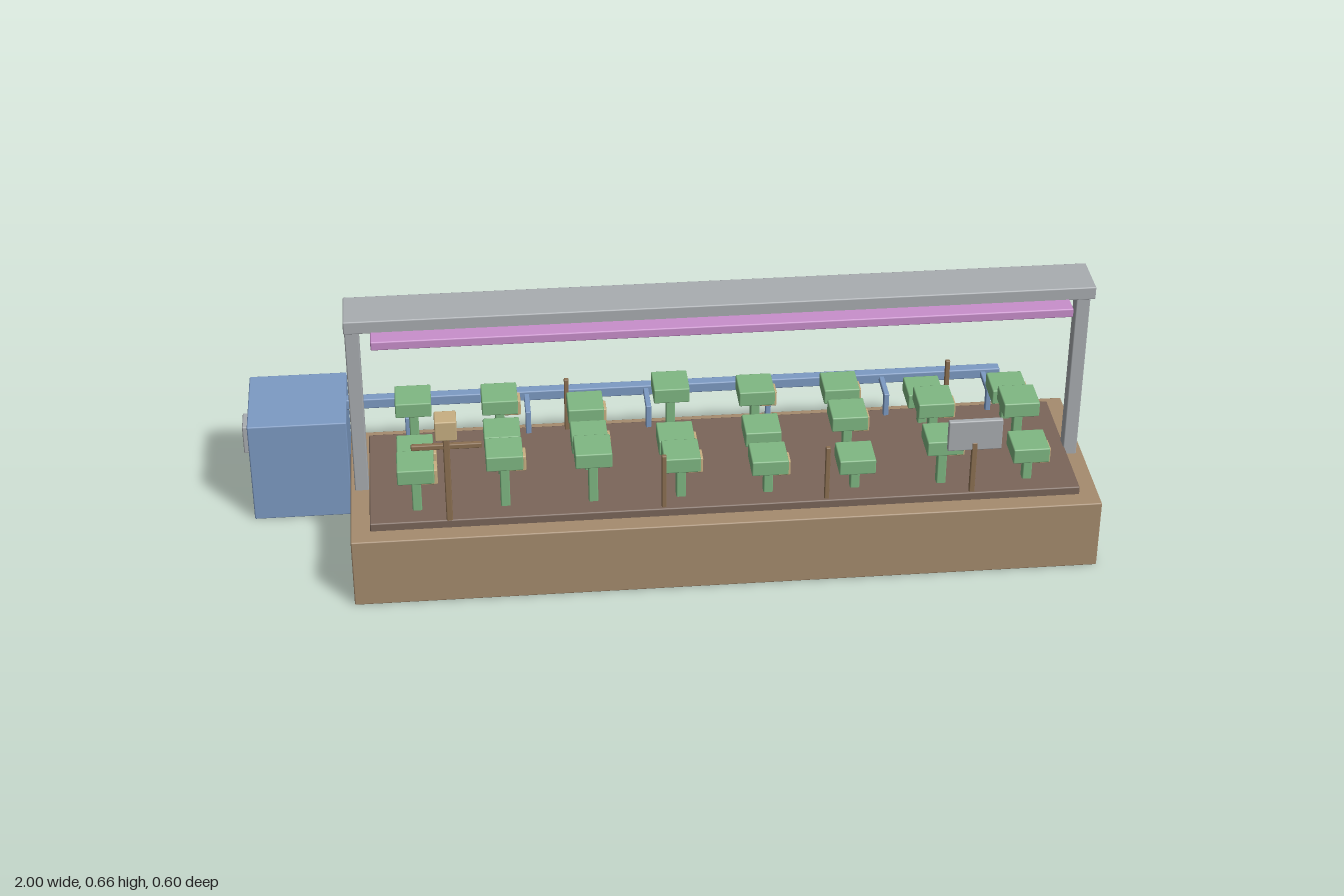
import * as THREE from 'three';
import { RoundedBoxGeometry } from 'three/addons/geometries/RoundedBoxGeometry.js';

const paint = (name, color) => {
  const m = new THREE.MeshStandardMaterial({ color });
  m.name = name;
  return m;
};

export function createModel() {
  const model = new THREE.Group();
  model.name = 'plantBed';
  const wood = paint('bedWood', 0xa68c6e);
  const earth = paint('soilBrown', 0x7b665a);
  const bark = paint('stakeBrown', 0x8c7052);
  const metal = paint('metalGrey', 0xa9adb1);
  const water = paint('waterBlue', 0x7d9bc4);
  const glow = paint('lampPink', 0xc98fcc);
  const leaf = paint('leafGreen', 0x80b883);
  const straw = paint('strawTan', 0xc8b082);

  // Slightly softened box spanning [min, max] on each axis
  function block(name, material, [x0, x1], [y0, y1], [z0, z1], parent = model) {
    const w = x1 - x0, h = y1 - y0, d = z1 - z0;
    const r = Math.min(0.003, Math.min(w, h, d) * 0.2);
    const mesh = new THREE.Mesh(new RoundedBoxGeometry(w, h, d, 1, r), material);
    mesh.position.set((x0 + x1) / 2, (y0 + y1) / 2, (z0 + z1) / 2);
    mesh.name = name;
    parent.add(mesh);
  }
  const around = (c, size) => [c - size / 2, c + size / 2];
  const group = (name) => {
    const g = new THREE.Group();
    g.name = name;
    model.add(g);
    return g;
  };

  // Raised bed and soil
  block('bed', wood, [-0.74, 1.0], [0, 0.175], [-0.162, 0.3]);
  block('soil', earth, [-0.695, 0.955], [0.165, 0.195], [-0.118, 0.257]);

  // Lamp gantry
  for (const x of [-0.713, 0.968]) block('gantryPost', metal, around(x, 0.033), [0.17, 0.638], [0.054, 0.087]);
  block('gantryBeam', metal, [-0.73, 0.985], [0.624, 0.656], [0.013, 0.127]);
  block('growLamp', glow, [-0.67, 0.925], [0.605, 0.627], [-0.03, 0.17]);

  // Water tank with control panel
  block('tank', water, [-0.98, -0.745], [0, 0.263], [-0.3, -0.07]);
  block('tankPanel', metal, [-1.0, -0.978], [0.12, 0.195], [-0.243, -0.178]);

  // Watering pipe with branches that drop to the soil
  block('pipe', water, [-0.75, 0.845], [0.235, 0.261], [-0.199, -0.172]);
  for (const x of [-0.6, -0.313, -0.024, 0.265, 0.553, 0.803]) {
    block('pipeBranch', water, around(x, 0.013), [0.242, 0.255], [-0.175, -0.09]);
    block('pipeDrop', water, around(x, 0.013), [0.19, 0.25], [-0.105, -0.09]);
  }

  // Three rows of plants; values are the heights of the canopy tops
  const rows = [
    { z: 0.2, tops: [0.325, 0.35, 0.345, 0.32, 0.3, 0.29, 0.33, 0.297] },
    { z: 0.07, tops: [0.285, 0.32, 0.3, 0.285, 0.295, 0.325, 0.35, 0.34] },
    { z: -0.06, tops: [0.34, 0.335, 0.3, 0.345, 0.325, 0.32, 0.295, 0.296] },
  ];
  rows.forEach(({ z, tops }, r) => tops.forEach((top, c) => {
    const x = -0.585 + c * 0.2033;
    const plant = group('plant');
    block('stem', leaf, around(x, 0.022), [0.19, top - 0.03], around(z, 0.022), plant);
    block('canopy', leaf, around(x, 0.085), [top - 0.038, top], around(z, 0.085), plant);
    if ((r + c) % 3 !== 2) {
      block('fruit', straw, around(x + 0.03, 0.04), around(top - 0.035, 0.04), around(z, 0.04), plant);
    }
  }));

  // Thin stakes along both edges
  for (const [x, z] of [[-0.018, 0.245], [0.36, 0.245], [-0.22, -0.104], [0.7, -0.104]]) {
    block('stake', bark, around(x, 0.011), [0.19, 0.335], around(z, 0.011));
  }

  // Scarecrow
  const scarecrow = group('scarecrow');
  block('scarecrowPost', bark, around(-0.512, 0.015), [0.19, 0.43], around(0.249, 0.015), scarecrow);
  block('scarecrowArms', bark, around(-0.512, 0.16), [0.387, 0.4], around(0.249, 0.012), scarecrow);
  block('scarecrowHead', straw, around(-0.512, 0.05), [0.423, 0.473], around(0.25, 0.05), scarecrow);

  // Sign
  const sign = group('sign');
  block('signPost', bark, around(0.7, 0.013), [0.19, 0.33], around(0.247, 0.012), sign);
  block('signBoard', metal, [0.637, 0.763], [0.31, 0.389], [0.238, 0.252], sign);

  return model;
}
